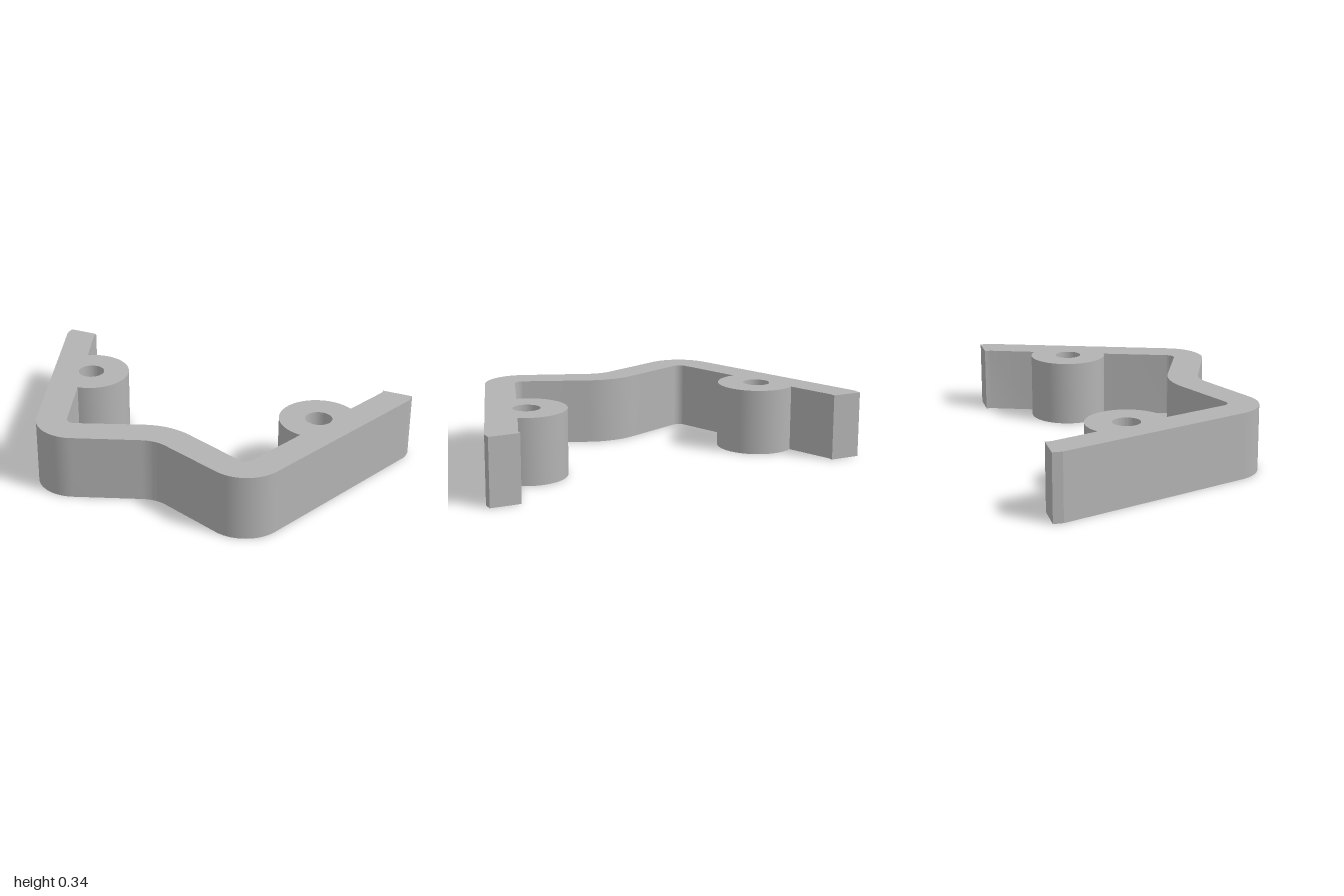
import * as THREE from 'three';
import { toCreasedNormals } from 'three/addons/utils/BufferGeometryUtils.js';

const HEIGHT = 0.335;
const BOSS = { x: 0.645, z: -0.14, r: 0.2, hole: 0.068 };

// Plan points (x, z) along an arc, angles in degrees
function arc(cx, cz, r, from, to, steps) {
  return Array.from({ length: steps + 1 }, (_, i) => {
    const a = THREE.MathUtils.degToRad(from + ((to - from) * i) / steps);
    return [cx + r * Math.cos(a), cz + r * Math.sin(a)];
  });
}

export function createModel() {
  const group = new THREE.Group();
  group.name = 'bracket';
  const grey = new THREE.MeshStandardMaterial({ color: 0xb3b3b3 });
  grey.name = 'plain grey';

  // Left half of the plan: outer wall, arm end, screw boss, inner wall
  const half = [
    ...arc(0, 0.6, 0.18, -90, -68, 8),
    ...arc(0.46, 0.37, 0.2, 112, 20, 20),
    [1, -0.52], [1, -0.57], [0.845, -0.57], [0.843, -0.54],
    ...arc(BOSS.x, BOSS.z, BOSS.r, -56.3, -263, 48),
    ...arc(0.46, 0.37, 0.045, 20, 112, 12),
    ...arc(0, 0.6, 0.34, -68, -90, 8),
  ];
  // Mirror it to the right, without repeating the two points on the axis
  const mirrored = half.slice(1, -1).reverse().map(([x, z]) => [-x, z]);
  const shape = new THREE.Shape([...half, ...mirrored].map(([x, z]) => new THREE.Vector2(x, -z)));

  // Screw holes through both bosses
  for (const side of [1, -1]) {
    const hole = new THREE.Path();
    hole.absarc(side * BOSS.x, -BOSS.z, BOSS.hole, 0, Math.PI * 2, true);
    shape.holes.push(hole);
  }

  const extruded = new THREE.ExtrudeGeometry(shape, { depth: HEIGHT, bevelEnabled: false, curveSegments: 32 });
  extruded.rotateX(-Math.PI / 2);
  const bracket = new THREE.Mesh(toCreasedNormals(extruded, 0.35), grey);
  bracket.name = 'bracketBody';
  group.add(bracket);
  return group;
}
